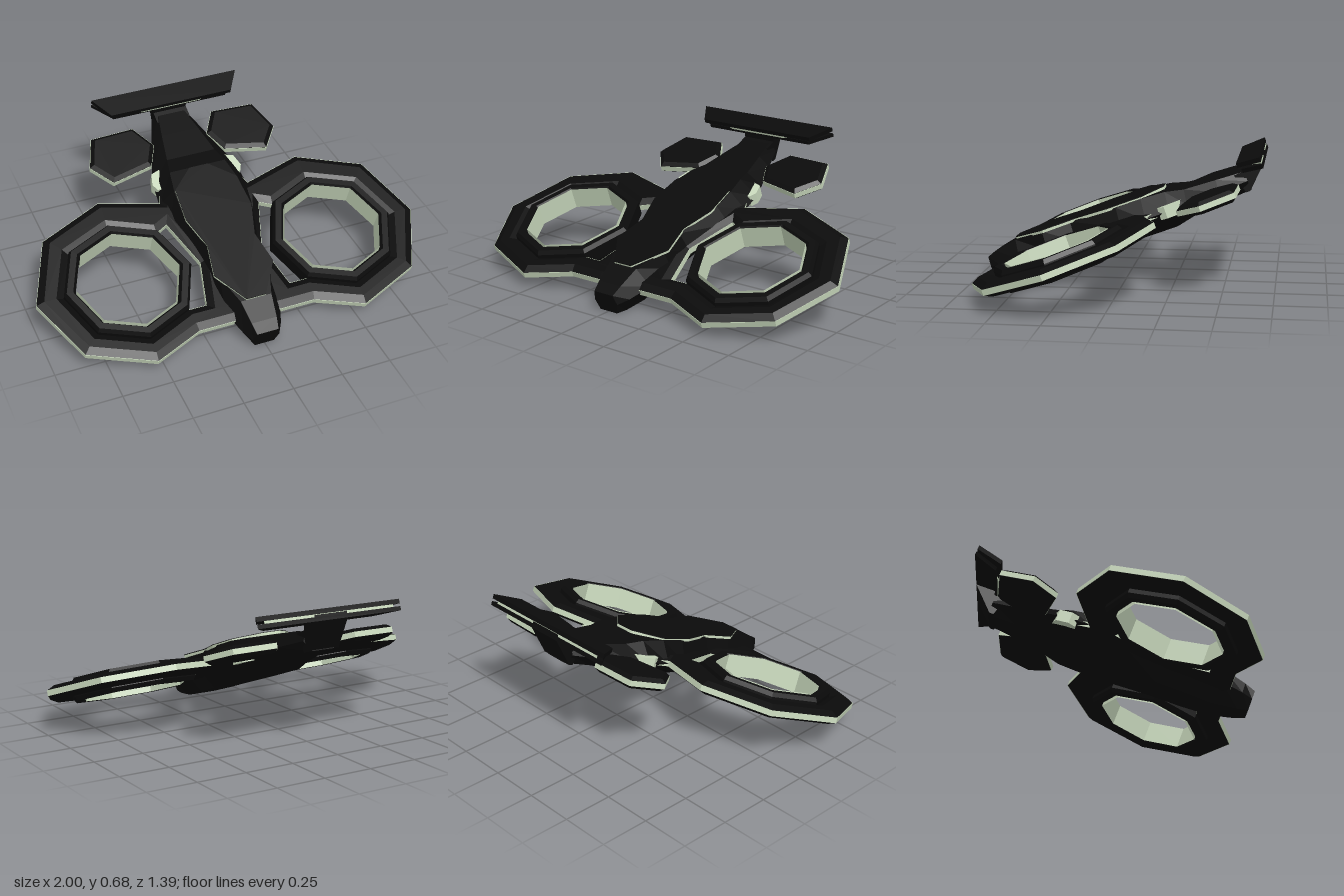
import * as THREE from 'three';

const dark = new THREE.MeshStandardMaterial({ color: 0x0b0b0b, flatShading: true, side: THREE.DoubleSide });
const pale = new THREE.MeshStandardMaterial({ color: 0xc8d8bc, flatShading: true, side: THREE.DoubleSide });

const vec = (pts) => pts.map(([x, z]) => new THREE.Vector2(x, z));
const mirrorX = (pts) => pts.map(([x, z]) => [-x, z]).reverse();

function octagon(r, cx, cz) {
  return Array.from({ length: 8 }, (_, i) => {
    const a = (i * Math.PI) / 4;
    return [cx + r * Math.cos(a), cz + r * Math.sin(a)];
  });
}

// Horizontal slab from an (x, z) outline, between y0 and y1, with optional chamfers
function slab(name, material, outline, y0, y1, holes = [], inset = 0, rise = 0) {
  const shape = new THREE.Shape(vec(outline));
  shape.holes = holes.map((h) => new THREE.Path(vec(h)));
  const geo = new THREE.ExtrudeGeometry(shape, {
    depth: y1 - y0 - 2 * rise,
    bevelEnabled: inset > 0,
    bevelSize: inset,
    bevelOffset: -inset - 0.002,
    bevelThickness: rise,
    bevelSegments: 1,
  });
  geo.rotateX(Math.PI / 2).translate(0, y1 - rise, 0);
  const mesh = new THREE.Mesh(geo, material);
  mesh.name = name;
  return mesh;
}

// Six-sided hull lofted through [z, topY, bottomY, midHalf, topHalf, bottomHalf]
function hull(stations) {
  const pos = [];
  const idx = [];
  for (const [z, yt, yb, m, t, b] of stations) {
    pos.push(m, 0, z, t, yt, z, -t, yt, z, -m, 0, z, -b, yb, z, b, yb, z);
  }
  const last = (stations.length - 1) * 6;
  for (let s = 0; s < last; s += 6) {
    for (let j = 0; j < 6; j++) {
      const k = (j + 1) % 6;
      idx.push(s + j, s + 6 + j, s + k, s + k, s + 6 + j, s + 6 + k);
    }
  }
  for (let j = 1; j < 5; j++) idx.push(0, j, j + 1, last, last + j + 1, last + j);
  const geo = new THREE.BufferGeometry();
  geo.setAttribute('position', new THREE.Float32BufferAttribute(pos, 3));
  geo.setIndex(idx);
  const flat = geo.toNonIndexed();
  flat.computeVertexNormals();
  return flat;
}

export function createModel() {
  const model = new THREE.Group();
  model.name = 'ductedFlyer';
  const craft = new THREE.Group();
  craft.name = 'craft';
  model.add(craft);

  // Fuselage
  const body = new THREE.Mesh(hull([
    [0.726, 0.051, -0.056, 0.068, 0.055, 0.05],
    [0.67, 0.068, -0.075, 0.1, 0.065, 0.06],
    [0.555, 0.092, -0.098, 0.14, 0.08, 0.075],
    [0.4, 0.094, -0.1, 0.155, 0.13, 0.09],
    [0.25, 0.094, -0.1, 0.155, 0.12, 0.09],
    [0.0, 0.094, -0.1, 0.225, 0.175, 0.12],
    [-0.13, 0.094, -0.1, 0.24, 0.17, 0.12],
    [-0.25, 0.086, -0.1, 0.23, 0.15, 0.11],
    [-0.34, 0.065, -0.08, 0.205, 0.13, 0.1],
    [-0.5, 0.055, -0.06, 0.15, 0.1, 0.08],
    [-0.645, 0.046, -0.052, 0.1, 0.07, 0.06],
  ]), dark);
  body.name = 'fuselage';
  craft.add(body);

  // Raised canopy panel with a pale rim
  const canopyHalf = [[0.05, 0.555], [0.155, 0.39], [0.125, 0.22], [0.175, 0.05], [0.165, -0.13], [0.05, -0.24]];
  const canopy = [...canopyHalf, ...mirrorX(canopyHalf)];
  craft.add(slab('canopyRim', pale, canopy, 0.088, 0.101));
  craft.add(slab('canopyPanel', dark, canopy, 0.1, 0.104));

  // Wing plate, pierced for both fans and the gap beside the hull
  const cx = 0.54;
  const cz = 0.26;
  const wingHalf = [[0.13, 0.61], [0.3, 0.61], [0.54, 0.705], [0.857, 0.575], [1, 0.26], [0.867, -0.075], [0.54, -0.215], [0.24, -0.13], [0.18, -0.3]];
  const wing = [...wingHalf, ...mirrorX(wingHalf)];
  const o = octagon(0.32, cx, cz);
  const opening = [o[6], o[7], o[0], o[1], o[2], o[3], [0.22, 0.487], [0.165, 0.255], [0.25, 0.0], o[5]];
  const openings = [opening, mirrorX(opening)];
  craft.add(slab('wingEdge', pale, wing, -0.014, 0.014, openings));
  craft.add(slab('wingPlate', dark, wing, -0.034, 0.034, openings, 0.035, 0.02));

  const wingletHalf = [[0.42, -0.31], [0.51, -0.43], [0.45, -0.6], [0.22, -0.61], [0.145, -0.48], [0.2, -0.36]];
  const sidePod = [[0.17, -0.2], [0.225, -0.2], [0.242, -0.235], [0.225, -0.3], [0.17, -0.32]];
  for (const side of [1, -1]) {
    const place = (pts) => (side > 0 ? pts : mirrorX(pts));
    const tag = side > 0 ? 'left' : 'right';

    // Fan duct with pale inner wall
    craft.add(slab(tag + 'FanDuct', dark, place(octagon(0.326, cx, cz)), -0.056, 0.056,
      [place(octagon(0.263, cx, cz))], 0.012, 0.02));
    const liner = new THREE.Mesh(new THREE.CylinderGeometry(0.261, 0.261, 0.112, 8, 1, true), pale);
    liner.rotation.y = Math.PI / 2;
    liner.position.set(side * cx, 0, cz);
    liner.name = tag + 'DuctLiner';
    craft.add(liner);

    // Rear winglet and pale pod on the hull side
    craft.add(slab(tag + 'Winglet', dark, place(wingletHalf), -0.03, 0.03, [], 0.02, 0.016));
    craft.add(slab(tag + 'WingletEdge', pale, place(wingletHalf), -0.013, 0.013));
    craft.add(slab(tag + 'SidePod', pale, place(sidePod), -0.03, 0.03));
  }

  // Tail pylon, its side profile given as (-z, y)
  const pylonShape = new THREE.Shape(vec([[0.59, 0.045], [0.62, -0.052], [0.641, -0.052], [0.76, 0.07], [0.76, 0.1], [0.665, 0.1], [0.655, 0.048]]));
  const pylon = new THREE.Mesh(new THREE.ExtrudeGeometry(pylonShape, { depth: 0.18, bevelEnabled: false }), dark);
  pylon.rotation.y = Math.PI / 2;
  pylon.position.x = -0.09;
  pylon.name = 'tailPylon';
  craft.add(pylon);

  // Two stacked tail blades with a pale spacer
  const trapezoid = (back, front, zb, zf) => [[-back, zb], [back, zb], [front, zf], [-front, zf]];
  craft.add(slab('upperTailBlade', dark, trapezoid(0.4, 0.33, -0.76, -0.641), 0.103, 0.125));
  craft.add(slab('lowerTailBlade', dark, trapezoid(0.4, 0.31, -0.76, -0.655), 0.07, 0.09));
  craft.add(slab('tailSpacer', pale, trapezoid(0.36, 0.16, -0.758, -0.645), 0.09, 0.103));

  // Nose-down attitude
  craft.rotation.x = THREE.MathUtils.degToRad(20);
  craft.position.y = 0.3;
  return model;
}
